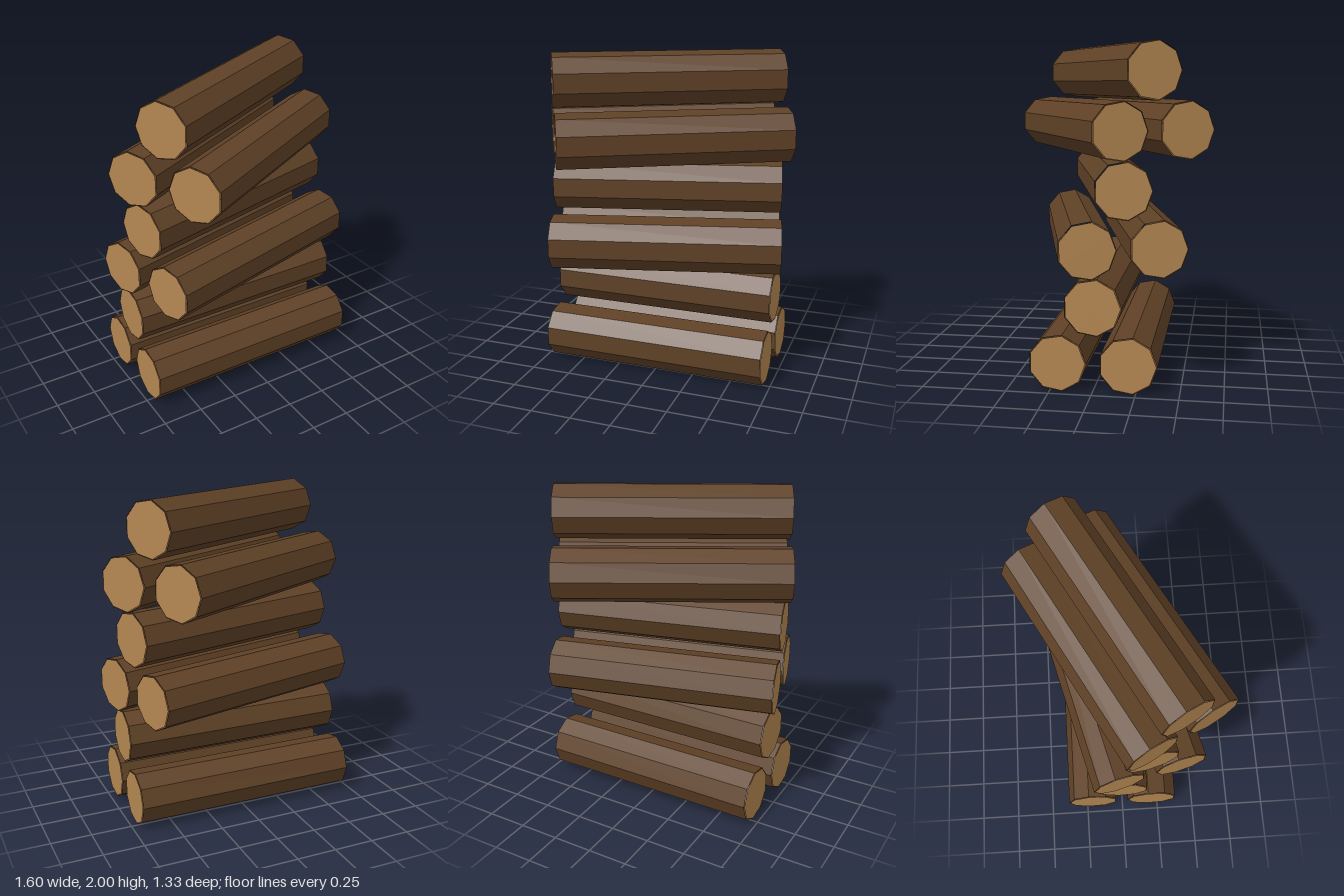
import * as THREE from 'three';

const R = 0.17, LENGTH = 1.416, SIDES = 9, PITCH = 0.333;

export function createModel() {
  const bark = new THREE.MeshStandardMaterial({ color: 0x5f4126, flatShading: true, side: THREE.DoubleSide });
  bark.name = 'bark';
  const cutWood = new THREE.MeshStandardMaterial({ color: 0xb48752, flatShading: true });
  cutWood.name = 'cutWood';

  // open nine-sided tube lying along x, one corner pointing to -z
  const barkGeo = new THREE.CylinderGeometry(R, R, LENGTH, SIDES, 1, true, Math.PI).rotateZ(Math.PI / 2);
  // cut faces, just proud of the bark
  const x = LENGTH / 2 + 0.002;
  const endGeos = [
    new THREE.CircleGeometry(R * 0.97, SIDES).rotateY(Math.PI / 2).translate(x, 0, 0),
    new THREE.CircleGeometry(R * 0.97, SIDES, Math.PI).rotateY(-Math.PI / 2).translate(-x, 0, 0),
  ];

  function makeLog(y, z) {
    const log = new THREE.Group();
    log.name = 'log';
    const tube = new THREE.Mesh(barkGeo, bark);
    tube.name = 'logBark';
    log.add(tube);
    for (const geo of endGeos) {
      const end = new THREE.Mesh(geo, cutWood);
      end.name = 'logEnd';
      log.add(end);
    }
    log.position.set(0, y, z);
    return log;
  }

  // three bundles, each a pair with one log on top, turning as they rise
  const model = new THREE.Group();
  model.name = 'logStack';
  for (let i = 0; i < 3; i++) {
    const bundle = new THREE.Group();
    bundle.name = 'logBundle';
    const y = R * Math.cos(Math.PI / 18) + i * 2 * PITCH;
    bundle.add(makeLog(y, 0.205), makeLog(y, -0.205), makeLog(y + PITCH, 0));
    bundle.rotation.y = i * 0.25;
    model.add(bundle);
  }
  return model;
}
